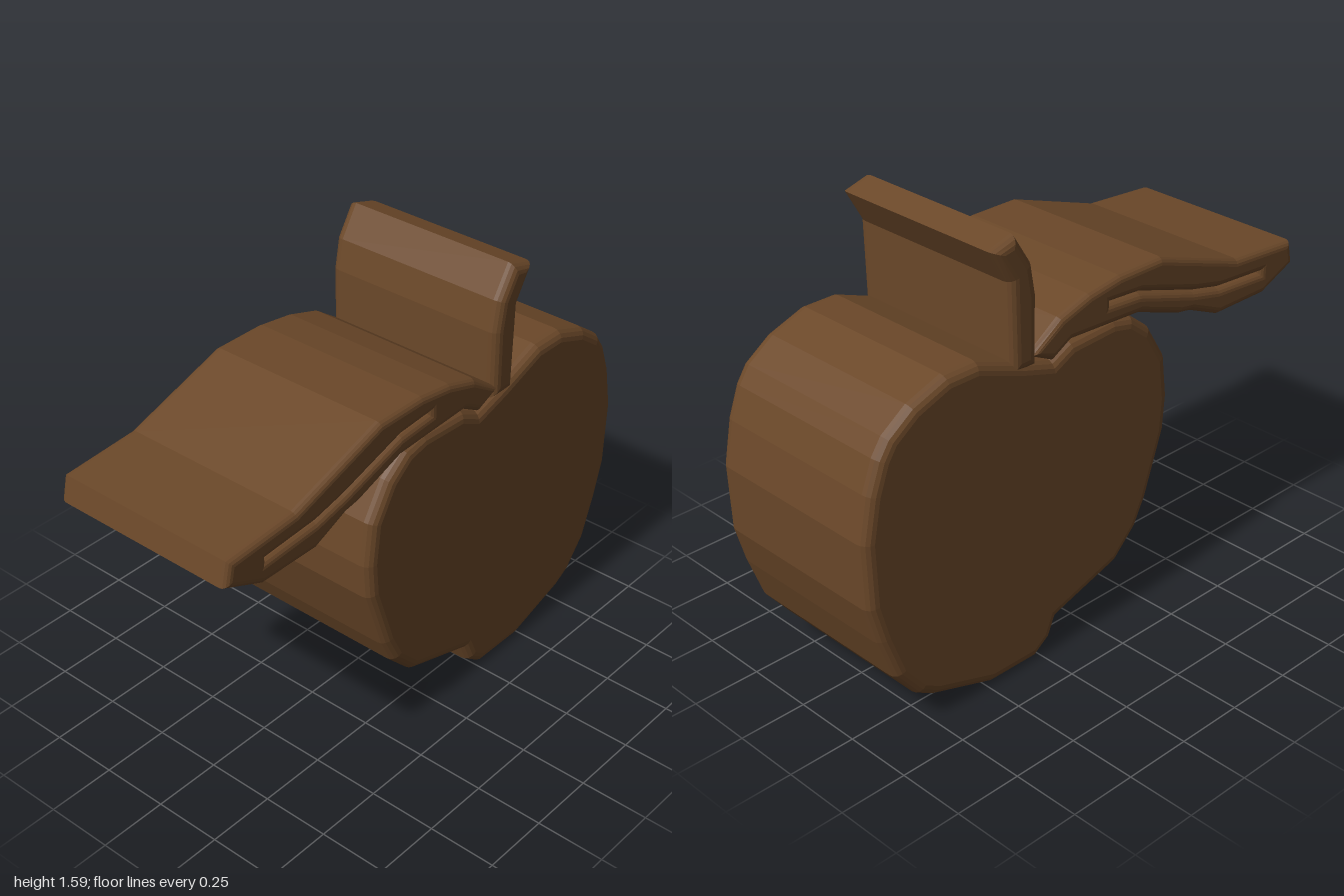
import * as THREE from 'three';

const HALF_DEPTH = 0.357;

// Extrudes an outline along z, with rounded edges kept inside the outline
function slab(name, outline, bevel, material, holes = []) {
  const toPoints = (list) => list.map(([x, y]) => new THREE.Vector2(x, y));
  const shape = new THREE.Shape(toPoints(outline));
  for (const hole of holes) shape.holes.push(new THREE.Path(toPoints(hole)));
  const geometry = new THREE.ExtrudeGeometry(shape, {
    depth: 2 * (HALF_DEPTH - bevel),
    bevelEnabled: true,
    bevelSize: bevel,
    bevelThickness: bevel,
    bevelOffset: -bevel,
    bevelSegments: 4,
  });
  geometry.translate(0, 0, bevel - HALF_DEPTH);
  const mesh = new THREE.Mesh(geometry, material);
  mesh.name = name;
  return mesh;
}

export function createModel() {
  const group = new THREE.Group();
  group.name = 'apple';
  const brown = new THREE.MeshStandardMaterial({ color: 0x6b4829 });
  brown.name = 'brown';

  // Fruit body with a dip at the stem and a step at the base
  const body = [
    [0.33, 1.15], [0.52, 1.22], [0.65, 1.22], [0.79, 1.17], [0.89, 1.1], [0.93, 1.04],
    [0.97, 0.93], [1, 0.77], [0.99, 0.53], [0.95, 0.39], [0.89, 0.23], [0.8, 0.12],
    [0.73, 0.08], [0.48, 0], [0.27, 0], [0.2, 0.05], [0.17, 0.12], [-0.12, 0.21],
    [-0.22, 0.31], [-0.27, 0.41], [-0.35, 0.65], [-0.36, 0.78], [-0.34, 0.94],
    [-0.26, 1.07], [-0.17, 1.14], [-0.08, 1.16], [0.12, 1.15], [0.2, 1.11],
  ];
  group.add(slab('body', body, 0.04, brown));

  // Short bent stem
  const stem = [
    [0.27, 1.12], [0.38, 1.12], [0.39, 1.44], [0.46, 1.56],
    [0.36, 1.59], [0.29, 1.48], [0.27, 1.37],
  ];
  group.add(slab('stem', stem, 0.035, brown));

  // Long leaf with a narrow slit as its central vein
  const leaf = [
    [-1, 1.07], [-0.84, 1], [-0.6, 1], [-0.46, 1.06], [-0.4, 1.07], [-0.2, 1.14],
    [0.12, 1.155], [0.2, 1.11], [0.3, 1.16], [0.17, 1.25], [0.04, 1.29],
    [-0.1, 1.31], [-0.3, 1.31], [-0.69, 1.18], [-0.98, 1.16],
  ];
  const vein = [[-0.82, 1.085], [-0.6, 1.1], [-0.47, 1.13], [-0.2, 1.215], [-0.06, 1.225]];
  const slit = [
    ...vein.map(([x, y]) => [x, y + 0.003]),
    ...vein.map(([x, y]) => [x, y - 0.003]).reverse(),
  ];
  group.add(slab('leaf', leaf, 0.026, brown, [slit]));

  return group;
}
